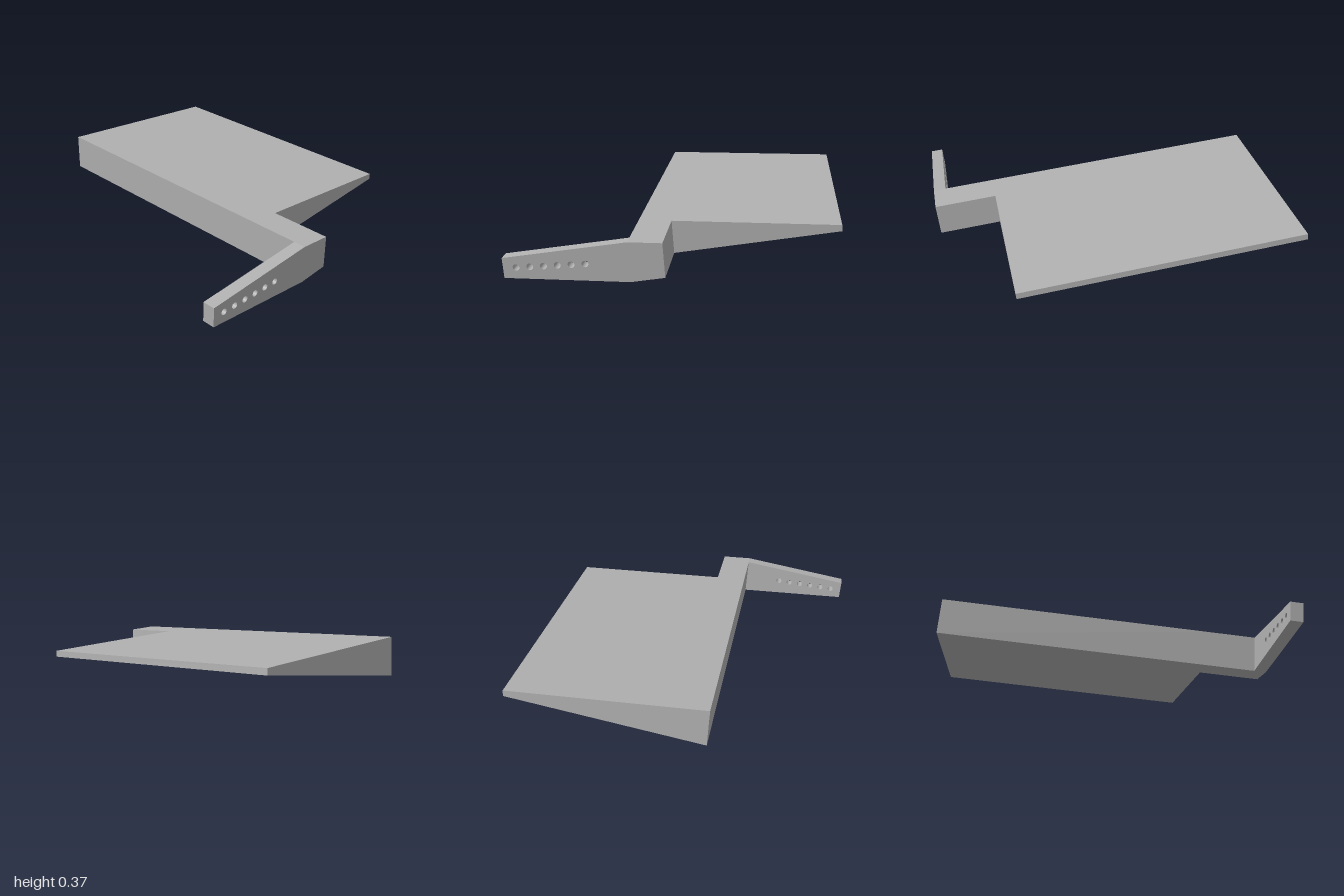
import * as THREE from 'three';

const T = 0.218; // full thickness at the front edge
const grey = new THREE.MeshStandardMaterial({ color: 0xb0b0b0 });
grey.name = 'plain grey';

// Extrude a side profile of [z, y] points across the width from x0 to x1
function slab(name, points, x0, x1, holes = []) {
  const shape = new THREE.Shape(points.map(([z, y]) => new THREE.Vector2(z, y)));
  for (const [z, y, r] of holes) {
    shape.holes.push(new THREE.Path().absarc(z, y, r, 0, Math.PI * 2, true));
  }
  const geometry = new THREE.ExtrudeGeometry(shape, {
    depth: x1 - x0, bevelEnabled: false, curveSegments: 24,
  });
  geometry.rotateY(-Math.PI / 2);
  geometry.translate(x1, 0, 0);
  const mesh = new THREE.Mesh(geometry, grey);
  mesh.name = name;
  return mesh;
}

export function createModel() {
  const model = new THREE.Group();
  model.name = 'wedgePlateWithArm';

  // Everything leans down towards the arm side
  const body = new THREE.Group();
  body.name = 'tiltedBody';
  body.position.set(-1, 0.156, 0);
  body.rotation.z = -0.0781;
  model.add(body);

  // Wide plate, thinning towards the back
  body.add(slab('wedgePlate',
    [[0.222, T], [-0.885, T], [-0.887, T - 0.035], [0.208, 0]], 0, 1.62));

  // Short shoulder that carries the arm
  body.add(slab('shoulder',
    [[0.222, T], [0.04, T], [0.028, 0.03], [0.208, 0]], 1.62, 1.914));

  // Tapered arm with a row of six through holes
  const holes = [];
  for (let i = 0; i < 6; i++) holes.push([0.813 - i * 0.0736, 0.061 + i * 0.0063, 0.018]);
  body.add(slab('perforatedArm',
    [[0.887, 0.111], [0.222, T], [0.04, T], [0.028, 0.03], [0.208, 0], [0.88, 0]],
    1.914, 1.986, holes));

  return model;
}
